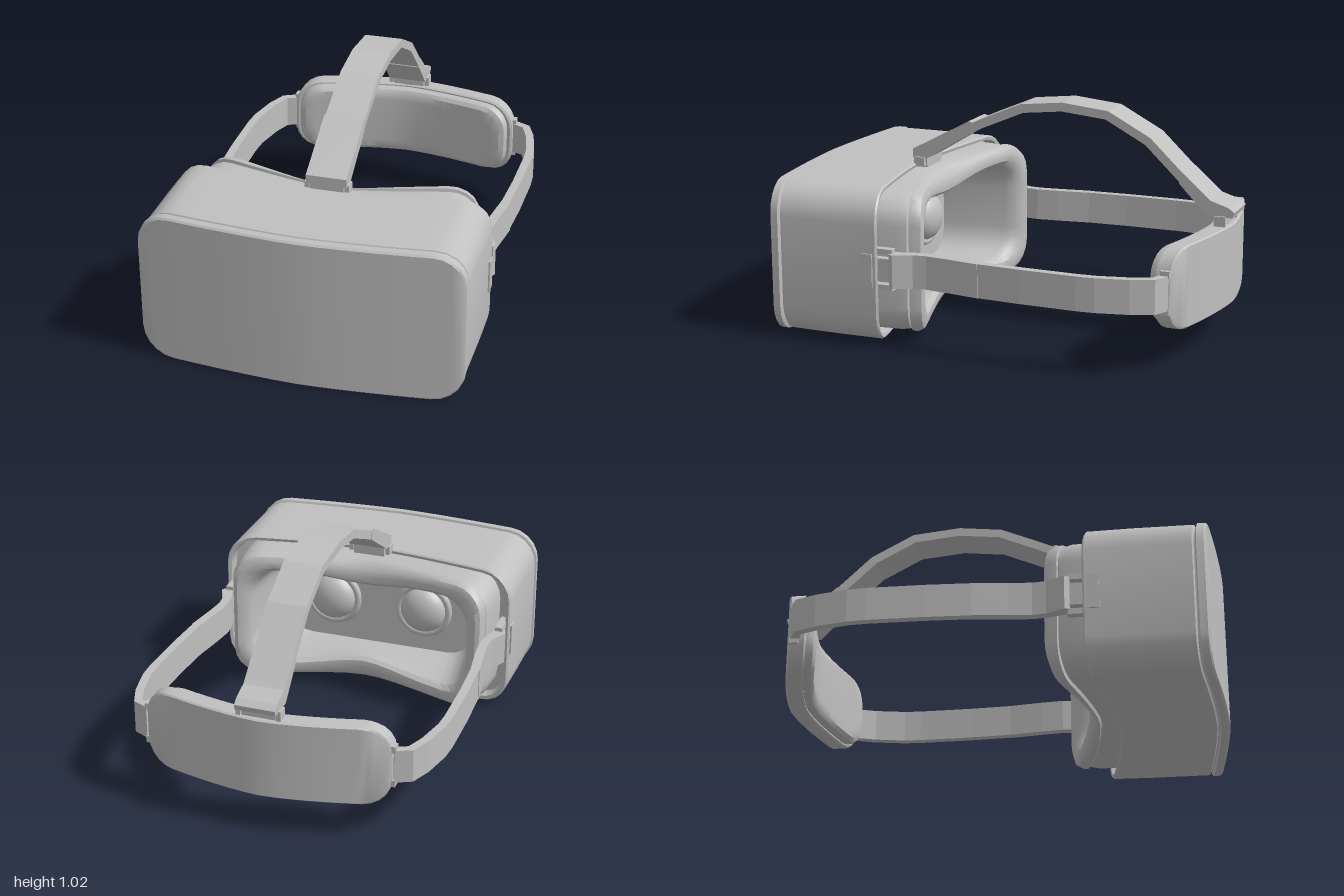
import * as THREE from 'three';
import { toCreasedNormals } from 'three/addons/utils/BufferGeometryUtils.js';

const grey = new THREE.MeshStandardMaterial({ color: 0xc0c0c0 });
grey.name = 'grey plastic';

function add(parent, name, geometry) {
  const mesh = new THREE.Mesh(geometry, grey);
  mesh.name = name;
  parent.add(mesh);
  return mesh;
}

function box(parent, name, size, pos) {
  return add(parent, name, new THREE.BoxGeometry(...size).translate(...pos));
}

// Rounded rectangle bowed along z: upper half left to right, then lower half back again.
// pinch draws the long edges together around the middle.
function ring({ hw, y0, y1, r, z, bend, pinch = 0 }) {
  const half = [];
  const flat = hw - r, steps = 5, spans = 12;
  for (let i = 0; i <= steps; i++) {
    const a = (i / steps) * Math.PI / 2;
    half.push([-flat - r * Math.cos(a), r * (Math.sin(a) - 1)]);
  }
  for (let i = 1; i < spans; i++) half.push([flat * (2 * i / spans - 1), 0]);
  for (let i = steps; i >= 0; i--) half.push([-half[i][0], half[i][1]]);
  const depth = (x) => z + bend * Math.pow(Math.abs(x) / hw, 1.5);
  const squeeze = (x) => pinch * Math.exp(-Math.pow(x / (hw * 0.4), 2));
  const upper = half.map(([x, d]) => [x, y1 + d - squeeze(x), depth(x)]);
  const lower = half.map(([x, d]) => [x, y0 - d + squeeze(x), depth(x)]);
  return upper.concat(lower.reverse());
}

// Skin over consecutive rings, optionally closed at either end
function loft(sections, capFirst, capLast) {
  const rings = sections.map(ring);
  const n = rings[0].length, index = [];
  for (let k = 0; k < rings.length - 1; k++) {
    for (let i = 0; i < n; i++) {
      const j = (i + 1) % n;
      const a = k * n + i, b = k * n + j, c = a + n, d = b + n;
      index.push(a, b, c, b, d, c);
    }
  }
  const cap = (base, flip) => {
    for (let i = 0; i < n / 2 - 1; i++) {
      const t = base + i, u = t + 1, b = base + n - 1 - i, c = b - 1;
      if (flip) index.push(t, c, b, t, u, c);
      else index.push(t, b, c, t, c, u);
    }
  };
  if (capFirst) cap(0, false);
  if (capLast) cap((rings.length - 1) * n, true);
  const g = new THREE.BufferGeometry();
  g.setAttribute('position', new THREE.Float32BufferAttribute(rings.flat(2), 3));
  g.setIndex(index);
  return toCreasedNormals(g, 0.6);
}

// Flat band outline around a centre line
function band(points, thickness) {
  const p = points.map(([x, y]) => new THREE.Vector2(x, y));
  const side = (s) => p.map((q, i) => {
    const t = p[Math.min(i + 1, p.length - 1)].clone().sub(p[Math.max(i - 1, 0)]).normalize();
    return new THREE.Vector2(q.x - t.y * s, q.y + t.x * s);
  });
  return side(thickness / 2).concat(side(-thickness / 2).reverse());
}

const extrude = (outline, depth) =>
  new THREE.ExtrudeGeometry(new THREE.Shape(outline), { depth, bevelEnabled: false });
// Outline in (z, y), centred across x
const acrossX = (outline, w) => extrude(outline, w).rotateY(-Math.PI / 2).translate(w / 2, 0, 0);
// Outline in (x, z), standing from y0 to y1
const upright = (outline, y0, y1) => extrude(outline, y1 - y0).rotateX(Math.PI / 2).translate(0, y1, 0);
const vecs = (list) => list.map(([x, y]) => new THREE.Vector2(x, y));

export function createModel() {
  const model = new THREE.Group();
  model.name = 'headset';

  // Housing: front panel, groove, side walls and recessed rear rim
  const body = (hw, y0, y1, r, z, bend) => ({ hw, y0, y1, r, z, bend });
  add(model, 'frontPanel', loft([
    body(0.7, 0.008, 0.688, 0.13, 0.996, -0.062),
    body(0.71, 0.0, 0.696, 0.14, 0.988, -0.062),
    body(0.712, 0.0, 0.696, 0.14, 0.956, -0.062),
    body(0.698, 0.014, 0.682, 0.13, 0.95, -0.062),
  ], true, true));
  add(model, 'housing', loft([
    body(0.695, 0.017, 0.679, 0.13, 0.96, -0.062),
    body(0.695, 0.017, 0.679, 0.13, 0.945, -0.062),
    body(0.708, 0.004, 0.692, 0.14, 0.938, -0.062),
    body(0.709, 0.004, 0.692, 0.14, 0.7, -0.08),
    body(0.707, 0.006, 0.69, 0.14, 0.522, -0.1),
    body(0.7, 0.012, 0.684, 0.135, 0.515, -0.1),
    body(0.686, 0.026, 0.67, 0.125, 0.52, -0.1),
    body(0.68, 0.03, 0.665, 0.125, 0.57, -0.1),
    body(0.56, 0.12, 0.58, 0.1, 0.57, -0.08),
  ], true, false));

  // Face cushion: stepped outside, rolled rim, hollow inside
  const face = (hw, inset, z, bend, pinch) =>
    ({ hw, y0: 0.025 + inset, y1: 0.68 - inset, r: 0.13, z, bend, pinch });
  add(model, 'faceCushion', loft([
    face(0.645, 0.012, 0.6, -0.1, 0),
    face(0.635, 0.014, 0.47, -0.12, 0),
    face(0.622, 0.018, 0.435, -0.125, 0.01),
    face(0.61, 0.026, 0.43, -0.125, 0.015),
    face(0.622, 0.008, 0.425, -0.125, 0.015),
    face(0.618, 0.008, 0.41, -0.135, 0.025),
    face(0.608, 0.02, 0.39, -0.14, 0.035),
    face(0.588, 0.045, 0.378, -0.135, 0.045),
    face(0.558, 0.075, 0.382, -0.125, 0.045),
    face(0.535, 0.095, 0.4, -0.11, 0.04),
    face(0.525, 0.1, 0.43, -0.1, 0.03),
    face(0.5, 0.1, 0.56, -0.05, 0),
    face(0.48, 0.1, 0.64, 0, 0),
  ], false, true));

  // Lenses with rings
  for (const s of [1, -1]) {
    const lens = new THREE.Group();
    lens.name = s > 0 ? 'leftLens' : 'rightLens';
    lens.position.set(s * 0.23, 0.35, 0.62);
    add(lens, 'lensGlass', new THREE.SphereGeometry(0.115, 24, 14).scale(1, 1, 0.65));
    add(lens, 'lensRing', new THREE.TorusGeometry(0.125, 0.018, 8, 28));
    model.add(lens);
  }

  // Side straps with overlapping front ends and forked anchors
  for (const s of [1, -1]) {
    const strap = new THREE.Group();
    strap.name = s > 0 ? 'leftStrap' : 'rightStrap';
    const mirror = (pts) => pts.map(([x, z]) => [x * s, z]);
    add(strap, 'rearStrap', upright(band(mirror([
      [0.672, -0.05], [0.682, -0.25], [0.685, -0.5], [0.68, -0.58],
      [0.65, -0.72], [0.615, -0.81], [0.55, -0.84],
    ]), 0.038), 0.28, 0.43));
    add(strap, 'frontStrap', upright(band(mirror([
      [0.675, 0.35], [0.65, 0.27], [0.642, 0.2], [0.652, 0.1], [0.674, -0.055],
    ]), 0.042), 0.28, 0.43));
    add(strap, 'strapEnd', upright(vecs(mirror([
      [0.64, 0.27], [0.665, 0.25], [0.708, 0.34], [0.7, 0.36], [0.65, 0.36],
    ])), 0.28, 0.43));
    box(strap, 'anchorTab', [0.035, 0.1, 0.2], [s * 0.672, 0.355, 0.43]);
    for (const y of [0.435, 0.275]) {
      box(strap, 'anchorProng', [0.035, 0.026, 0.16], [s * 0.672, y, 0.43]);
      box(strap, 'rearHook', [0.035, 0.03, 0.04], [s * 0.545, y, -0.84]);
    }
    box(strap, 'sideCatch', [0.012, 0.15, 0.05], [s * 0.709, 0.35, 0.46]);
    model.add(strap);
  }

  // Rear head rest: curved shell and softer cushion
  const pad = (hw, inset, r, z, bend) =>
    ({ hw, y0: 0.17 + inset, y1: 0.535 - inset, r, z, bend });
  add(model, 'restCushion', loft([
    pad(0.45, 0.07, 0.08, -0.852, 0.085),
    pad(0.49, 0.035, 0.1, -0.855, 0.1),
    pad(0.515, 0.018, 0.11, -0.868, 0.105),
    pad(0.525, 0.012, 0.11, -0.89, 0.107),
    pad(0.525, 0.012, 0.11, -0.92, 0.107),
  ], true, false));
  add(model, 'restShell', loft([
    pad(0.54, 0.006, 0.12, -0.9, 0.11),
    pad(0.55, 0, 0.12, -0.908, 0.112),
    pad(0.55, 0, 0.12, -0.97, 0.112),
    pad(0.54, 0.006, 0.12, -0.978, 0.11),
  ], true, true));

  // Arched top strap with a thicker buckle at each end
  add(model, 'topStrap', acrossX(band([
    [0.36, 0.82], [0.16, 0.91], [-0.01, 0.983], [-0.2, 1.004], [-0.41, 0.983],
    [-0.6, 0.882], [-0.78, 0.71],
  ], 0.04), 0.176));
  add(model, 'frontBuckle', acrossX(vecs([
    [0.53, 0.755], [0.25, 0.905], [0.23, 0.9], [0.24, 0.85], [0.46, 0.715], [0.53, 0.715],
  ]), 0.18));
  add(model, 'rearBuckle', acrossX(vecs([
    [-0.765, 0.755], [-0.89, 0.645], [-0.97, 0.62], [-0.998, 0.6], [-0.99, 0.575],
    [-0.875, 0.575], [-0.745, 0.71],
  ]), 0.18));
  box(model, 'frontMount', [0.15, 0.06, 0.06], [0, 0.7, 0.495]);
  box(model, 'rearMount', [0.15, 0.08, 0.05], [0, 0.55, -0.93]);
  for (const s of [1, -1]) {
    box(model, 'frontMountLug', [0.02, 0.04, 0.05], [s * 0.09, 0.7, 0.495]);
    box(model, 'rearMountLug', [0.02, 0.06, 0.05], [s * 0.09, 0.55, -0.935]);
  }

  return model;
}
